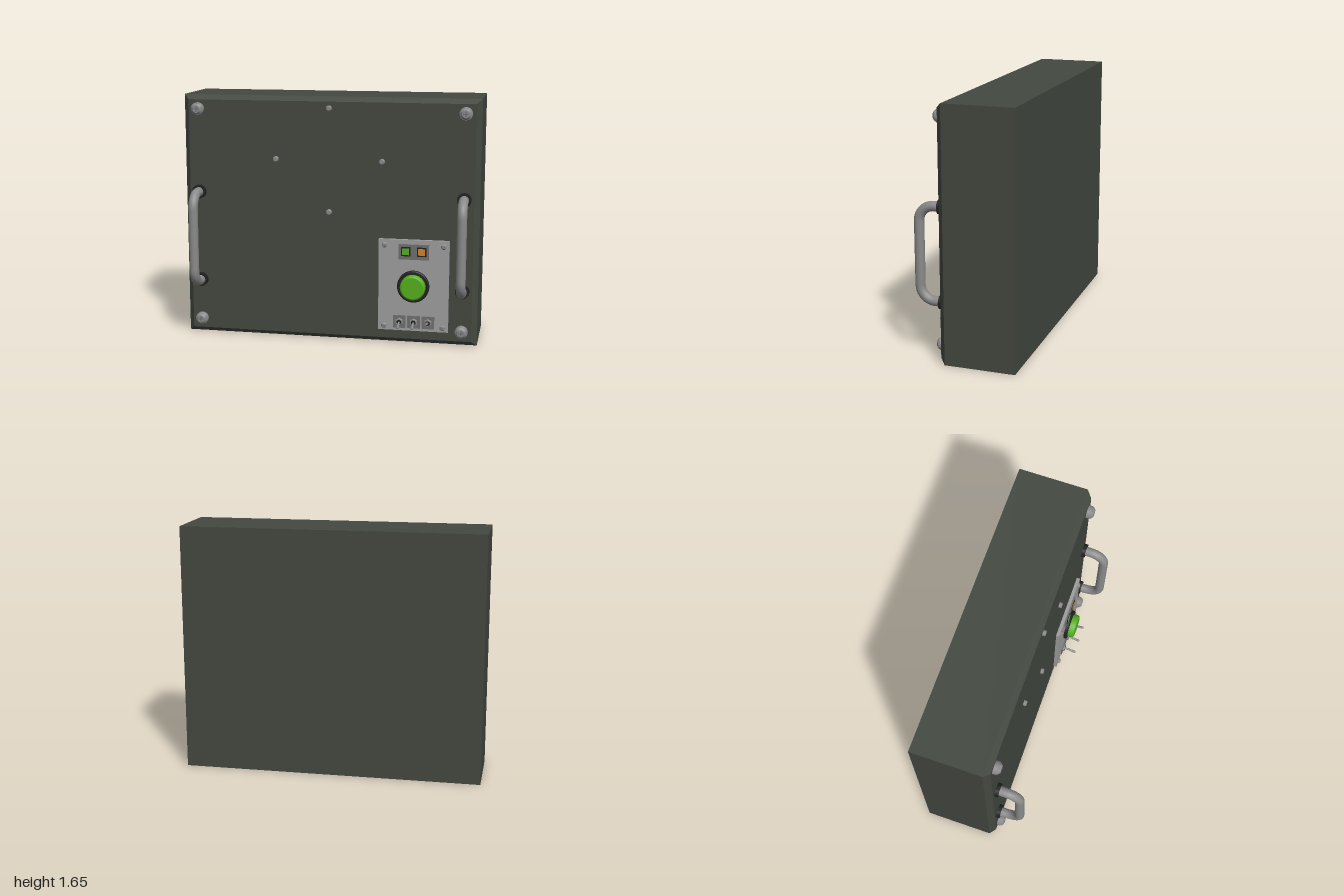
import * as THREE from 'three';
import { toCreasedNormals } from 'three/addons/utils/BufferGeometryUtils.js';

const paint = (color) => new THREE.MeshStandardMaterial({ color });
const mats = {
  body: paint(0x434840), metal: paint(0x8a8a8a), plate: paint(0x9e9e9e), dull: paint(0x707070),
  black: paint(0x222222), green: paint(0x55b01e), orange: paint(0xd08428),
};
const FACE = 0.155; // z of the front face
const PANEL = 0.178; // z of the control panel surface

function add(parent, name, geo, mat, x = 0, y = 0, z = 0) {
  const mesh = new THREE.Mesh(geo, mat);
  mesh.name = name;
  mesh.position.set(x, y, z);
  parent.add(mesh);
  return mesh;
}

// Box standing forward from z
const slab = (w, h, d) => new THREE.BoxGeometry(w, h, d).translate(0, 0, d / 2);

// Round part turned about the z axis: points are [radius, z]
function turned(points, sides = 32) {
  const geo = new THREE.LatheGeometry(points.map(([r, z]) => new THREE.Vector2(r, z)), sides);
  return toCreasedNormals(geo.rotateX(Math.PI / 2), 0.5);
}

// Disc with a bevelled front edge
const disc = (r, d, bevel, sides) =>
  turned([[r, 0], [r, d - bevel], [r - bevel, d], [0, d]], sides);

// Case with a chamfer around the front face
function caseGeometry() {
  const geo = new THREE.BoxGeometry(2, 1.65, 0.5, 1, 1, 2);
  const p = geo.attributes.position;
  for (let i = 0; i < p.count; i++) {
    const z = p.getZ(i);
    if (z > 0.1) {
      p.setXYZ(i, p.getX(i) - Math.sign(p.getX(i)) * 0.037, p.getY(i) - Math.sign(p.getY(i)) * 0.032, FACE);
    } else p.setZ(i, z < -0.1 ? -0.345 : 0.118);
  }
  return toCreasedNormals(geo, 0.3);
}

// U-shaped grip bent from round bar
function handleGeometry(y0, y1) {
  const zOut = 0.313, r = 0.1, k = r * 0.448;
  const v = (y, z) => new THREE.Vector3(0, y, z);
  const path = new THREE.CurvePath();
  path.add(new THREE.LineCurve3(v(y0, FACE), v(y0, zOut - r)));
  path.add(new THREE.CubicBezierCurve3(v(y0, zOut - r), v(y0, zOut - k), v(y0 + k, zOut), v(y0 + r, zOut)));
  path.add(new THREE.LineCurve3(v(y0 + r, zOut), v(y1 - r, zOut)));
  path.add(new THREE.CubicBezierCurve3(v(y1 - r, zOut), v(y1 - k, zOut), v(y1, zOut - k), v(y1, zOut - r)));
  path.add(new THREE.LineCurve3(v(y1, zOut - r), v(y1, FACE)));
  return new THREE.TubeGeometry(path, 80, 0.032, 20);
}

// Screw with a cross slot in its head
function screw(parent, name, x, y, z, r, depth) {
  const g = new THREE.Group();
  g.name = name;
  g.position.set(x, y, z);
  add(g, 'screwHead', disc(r, depth, r * 0.35, 24), mats.metal);
  for (const turn of [0, Math.PI / 2]) {
    add(g, 'crossSlot', slab(r * 0.9, r * 0.18, 0.002), mats.dull, 0, 0, depth - 0.001).rotation.z = turn;
  }
  parent.add(g);
}

function createModel() {
  const model = new THREE.Group();
  model.name = 'controlBox';
  add(model, 'case', caseGeometry(), mats.body, 0, 0.825, 0);

  // Handles with black collars, and corner screws
  const handle = handleGeometry(0.378, 0.993);
  const collar = turned([[0.047, 0], [0.047, 0.025], [0, 0.025]]);
  for (const side of [-1, 1]) {
    const x = side * 0.898;
    add(model, 'handle', handle, mats.metal, x);
    for (const y of [0.378, 0.993]) add(model, 'handleCollar', collar, mats.black, x, y, FACE);
    for (const y of [0.1, 1.556]) {
      add(model, 'cornerWasher', disc(0.043, 0.026, 0.003, 24), mats.metal, x, y, FACE);
      screw(model, 'cornerScrew', x, y, FACE + 0.02, 0.038, 0.025);
    }
  }

  // Small bolts on the front face
  for (const [x, y] of [[0, 1.575], [-0.361, 1.23], [0.355, 1.23], [0, 0.882]]) {
    add(model, 'faceBolt', disc(0.019, 0.02, 0.005, 16), mats.metal, x, y, FACE);
  }

  // Control panel
  const panel = new THREE.Group();
  panel.name = 'controlPanel';
  model.add(panel);
  add(panel, 'panelPlate', slab(0.47, 0.622, PANEL - FACE), mats.plate, 0.575, 0.406, FACE);
  for (const x of [0.38, 0.773]) {
    for (const y of [0.126, 0.68]) screw(panel, 'panelScrew', x, y, PANEL, 0.018, 0.015);
  }

  // Indicator lamps
  add(panel, 'lampPlate', slab(0.203, 0.102, 0.01), mats.dull, 0.575, 0.637, PANEL);
  for (const [x, mat] of [[0.522, mats.green], [0.628, mats.orange]]) {
    add(panel, 'lampBezel', slab(0.062, 0.062, 0.006), mats.black, x, 0.64, PANEL + 0.008);
    add(panel, 'lamp', slab(0.044, 0.044, 0.01), mat, x, 0.64, PANEL + 0.008);
  }

  // Push button
  add(panel, 'buttonRing', disc(0.107, 0.024, 0.006, 48), mats.black, 0.575, 0.404, PANEL);
  add(panel, 'button', turned([[0.084, 0], [0.084, 0.054], [0.08, 0.063], [0.072, 0.068], [0, 0.068]], 48),
    mats.green, 0.575, 0.404, PANEL);

  // Toggle switches: two down, one up
  const lever = turned([[0.006, 0], [0.009, 0.085], [0.007, 0.092], [0, 0.094]], 12);
  [-1, -1, 1].forEach((dir, i) => {
    const x = 0.484 + i * 0.096;
    add(panel, 'togglePlate', slab(0.085, 0.085, 0.008), mats.dull, x, 0.157, PANEL);
    add(panel, 'toggleNut', disc(0.028, 0.014, 0.003, 6), mats.metal, x, 0.157, PANEL + 0.006);
    add(panel, 'toggleSocket', disc(0.016, 0.004, 0.001, 16), mats.black, x, 0.157, PANEL + 0.017);
    add(panel, 'toggleLever', lever, mats.metal, x, 0.157, PANEL + 0.01).rotation.x = -dir * 0.22;
  });

  return model;
}

export { createModel };
